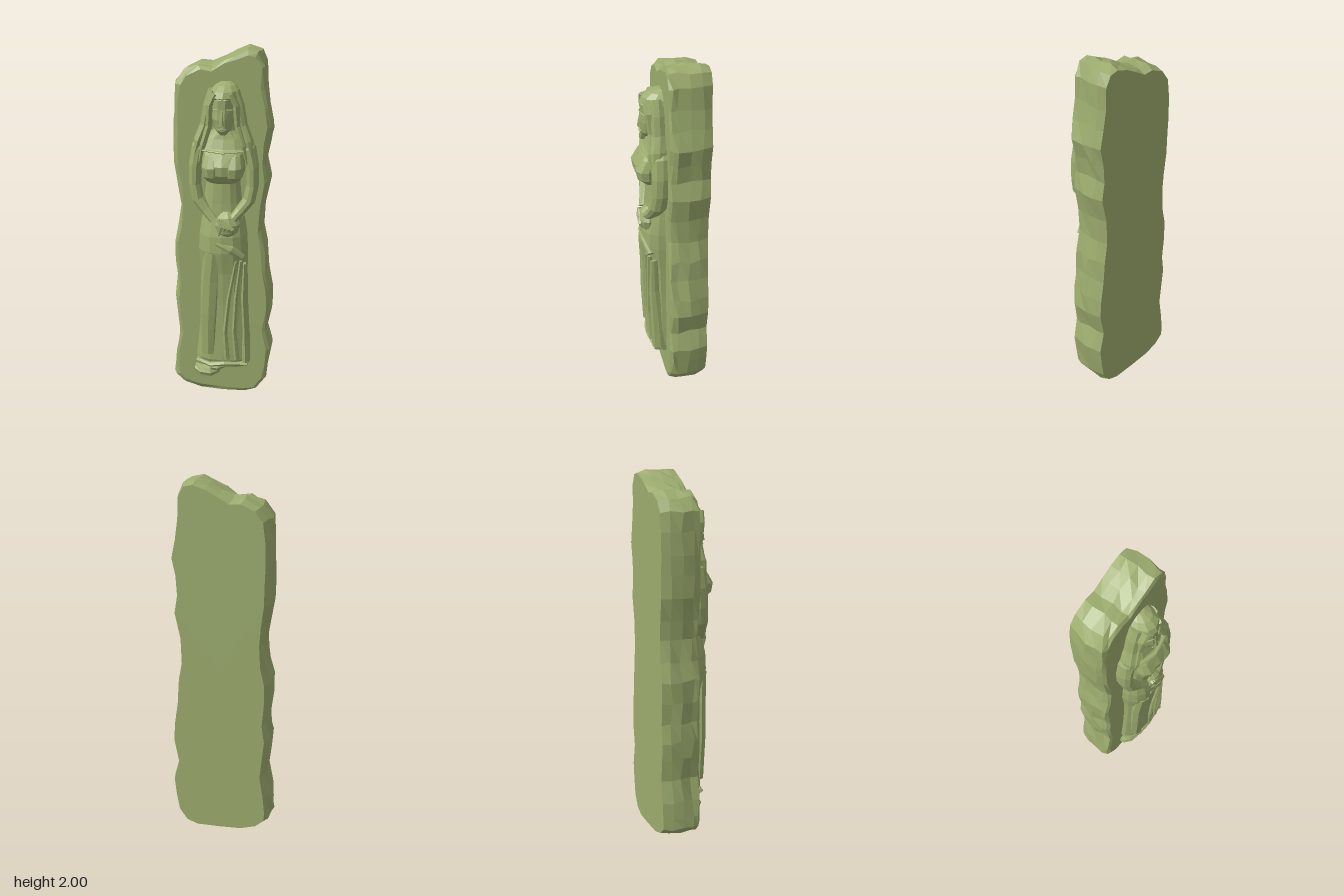
import * as THREE from 'three';

const stone = new THREE.MeshStandardMaterial({ color: 0x9cac6e });
stone.name = 'mossy stone';

// repeatable noise in -1..1
let seed = 11;
const rnd = () => {
  seed = (seed * 16807) % 2147483647;
  return (seed / 2147483647) * 2 - 1;
};

// closed faceted skin through equal rings, capped at both ends
function loft(name, rings) {
  const pos = [];
  const n = rings[0].length;
  const tri = (a, b, c) => pos.push(...a.toArray(), ...b.toArray(), ...c.toArray());
  const mid = (r) => r.reduce((s, p) => s.add(p), new THREE.Vector3()).divideScalar(n);
  const last = rings.length - 1;
  const c0 = mid(rings[0]), c1 = mid(rings[last]);
  for (let j = 0; j < n; j++) {
    const k = (j + 1) % n;
    for (let i = 0; i < last; i++) {
      const a = rings[i][j], b = rings[i][k], c = rings[i + 1][j], d = rings[i + 1][k];
      tri(a, c, b);
      tri(b, c, d);
    }
    tri(c0, rings[0][j], rings[0][k]);
    tri(c1, rings[last][k], rings[last][j]);
  }
  const g = new THREE.BufferGeometry();
  g.setAttribute('position', new THREE.Float32BufferAttribute(pos, 3));
  g.computeVertexNormals();
  const m = new THREE.Mesh(g, stone);
  m.name = name;
  return m;
}

// sweep of ellipses along stations [x, y, z, half width, half depth]
function sweep(name, rows, sides = 10, power = 1) {
  const bend = (v) => Math.sign(v) * Math.abs(v) ** power;
  const rings = rows.map(([x, y, z, rx, rz], i) => {
    const p = rows[Math.max(i - 1, 0)], q = rows[Math.min(i + 1, rows.length - 1)];
    const t = new THREE.Vector2(q[0] - p[0], q[1] - p[1]).normalize();
    return Array.from({ length: sides }, (_, j) => {
      const a = (j / sides) * Math.PI * 2;
      const u = bend(Math.cos(a)) * rx;
      return new THREE.Vector3(x + t.y * u, y - t.x * u, z + bend(Math.sin(a)) * rz);
    });
  });
  return loft(name, rings);
}

// body stations [y, left edge, right edge, front depth], sunk into the slab
const relief = (name, rows, sides = 16, power = 0.8) =>
  sweep(name, rows.map(([y, a, b, f]) => [0, y, 0.01, (b - a) / 2, f - 0.01, (a + b) / 2])
    .map((r) => [r[0], r[1], r[2], r[3], r[4], r[5]]), sides, power, rows);

// same as relief, shifted sideways by each station's centre
function body(name, rows, sides = 16, power = 0.8) {
  const rings = rows.map(([y, a, b, f]) => Array.from({ length: sides }, (_, j) => {
    const t = (j / sides) * Math.PI * 2;
    const s = (v) => Math.sign(v) * Math.abs(v) ** power;
    return new THREE.Vector3((a + b) / 2 + s(Math.cos(t)) * (b - a) / 2, y, 0.01 + s(Math.sin(t)) * (f - 0.01));
  }));
  return loft(name, rings);
}

function slab() {
  // rough outline, clockwise from the lower left
  const outline = [
    [-0.22, 0.05], [-0.275, 0.1], [-0.28, 0.16], [-0.27, 0.26], [-0.25, 0.38], [-0.262, 0.5], [-0.272, 0.6],
    [-0.258, 0.7], [-0.268, 0.82], [-0.268, 0.94], [-0.245, 1.04], [-0.238, 1.16], [-0.245, 1.26], [-0.26, 1.38],
    [-0.262, 1.5], [-0.266, 1.6], [-0.262, 1.72], [-0.248, 1.82], [-0.2, 1.885], [-0.12, 1.92], [-0.06, 1.915],
    [0, 1.95], [0.06, 1.98], [0.13, 2], [0.19, 1.985], [0.225, 1.92], [0.228, 1.8], [0.245, 1.7], [0.266, 1.6],
    [0.245, 1.5], [0.24, 1.4], [0.256, 1.3], [0.226, 1.16], [0.222, 1.02], [0.24, 0.9], [0.25, 0.78], [0.268, 0.66],
    [0.275, 0.55], [0.25, 0.42], [0.278, 0.3], [0.268, 0.2], [0.25, 0.1], [0.2, 0.03], [0.13, 0.005], [0, 0.01],
    [-0.13, 0.02],
  ];
  const n = outline.length;
  const layers = [[-0.18, 0.018, 0], [-0.13, 0.003, 0.008], [-0.07, 0, 0.01], [-0.01, 0.004, 0.01],
    [0.022, 0.01, 0.007], [0.035, 0.028, 0.006]];
  return loft('stoneSlab', layers.map(([z, inset, rough], i) => outline.map(([x, y], j) => {
    const p = outline[(j + n - 1) % n], q = outline[(j + 1) % n];
    const t = new THREE.Vector2(q[0] - p[0], q[1] - p[1]).normalize();
    const d = inset + rnd() * rough;
    const along = rnd() * rough;
    return new THREE.Vector3(
      x + t.y * d + t.x * along,
      THREE.MathUtils.clamp(y - t.x * d + t.y * along, 0, 2),
      z + (i > 0 && i < 5 ? rnd() * rough : 0));
  })));
}

export function createModel() {
  const model = new THREE.Group();
  model.name = 'carvedSlab';
  model.add(slab());

  const figure = new THREE.Group();
  figure.name = 'reliefFigure';
  model.add(figure);

  // gown, waist, bust and neck
  figure.add(
    body('skirt', [
      [0.21, -0.12, 0.155, 0.1], [0.26, -0.15, 0.165, 0.115], [0.4, -0.135, 0.162, 0.115], [0.6, -0.12, 0.15, 0.118],
      [0.8, -0.118, 0.145, 0.13], [0.93, -0.13, 0.145, 0.152], [1.02, -0.125, 0.14, 0.148], [1.12, -0.11, 0.125, 0.125],
    ]),
    body('torso', [
      [1.08, -0.115, 0.13, 0.125], [1.2, -0.1, 0.11, 0.115], [1.31, -0.085, 0.1, 0.11], [1.33, -0.09, 0.11, 0.14],
      [1.37, -0.1, 0.125, 0.172], [1.42, -0.105, 0.13, 0.178], [1.48, -0.115, 0.14, 0.145], [1.5, -0.125, 0.15, 0.12],
      [1.55, -0.1, 0.13, 0.1], [1.59, -0.045, 0.075, 0.09], [1.64, -0.035, 0.065, 0.085],
    ]),
  );

  // head, nose and hair
  figure.add(
    body('face', [
      [1.575, -0.012, 0.035, 0.12], [1.6, -0.038, 0.058, 0.14], [1.66, -0.058, 0.07, 0.145],
      [1.71, -0.06, 0.075, 0.138], [1.76, -0.058, 0.078, 0.14], [1.8, -0.04, 0.06, 0.11],
    ], 14, 0.85),
    sweep('nose', [[0.008, 1.63, 0.14, 0.014, 0.014], [0.008, 1.66, 0.14, 0.011, 0.01], [0.008, 1.71, 0.132, 0.006, 0.006]], 6),
    sweep('mouth', [[-0.012, 1.612, 0.134, 0.004, 0.007], [0.01, 1.612, 0.139, 0.007, 0.009], [0.032, 1.612, 0.134, 0.004, 0.007]], 6),
    body('crownOfHair', [
      [1.73, -0.08, 0.1, 0.1], [1.77, -0.075, 0.102, 0.143], [1.8, -0.06, 0.095, 0.13],
      [1.825, -0.035, 0.075, 0.095], [1.84, -0.005, 0.05, 0.05],
    ], 12, 0.9),
  );
  for (const s of [-1, 1]) {
    const side = s < 0 ? 'right' : 'left';
    const X = (v) => 0.012 + s * v;
    figure.add(
      // brow and falling hair
      sweep(side + 'Brow', [[X(0.018), 1.712, 0.137, 0.005, 0.006], [X(0.05), 1.708, 0.118, 0.005, 0.008]], 6),
      sweep(side + 'OuterHair', [
        [X(0.055), 1.8, 0.06, 0.025, 0.035], [X(0.08), 1.72, 0.06, 0.027, 0.04], [X(0.098), 1.62, 0.06, 0.026, 0.04],
        [X(0.13), 1.54, 0.07, 0.025, 0.045], [X(0.15), 1.46, 0.07, 0.012, 0.04],
      ], 8),
      sweep(side + 'InnerHair', [
        [X(0.04), 1.79, 0.1, 0.015, 0.035], [X(0.068), 1.73, 0.095, 0.018, 0.035], [X(0.075), 1.62, 0.085, 0.018, 0.03],
        [X(0.105), 1.52, 0.095, 0.017, 0.03], [X(0.125), 1.42, 0.09, 0.006, 0.02],
      ], 8),
      // arms bent towards the joined hands
      sweep(side + 'UpperArm', [
        [X(0.1), 1.55, 0.05, 0.03, 0.035], [X(0.132), 1.5, 0.055, 0.037, 0.055], [X(0.15), 1.4, 0.06, 0.036, 0.055],
        [X(0.153), 1.3, 0.065, 0.033, 0.05], [X(0.138), 1.22, 0.075, 0.033, 0.048], [X(0.095), 1.165, 0.09, 0.03, 0.04],
        [X(0.05), 1.115, 0.115, 0.025, 0.03],
      ], 10),
      // bust
      sweep(side + 'Bust', [
        [X(0.055), 1.325, 0.1, 0.028, 0.03], [X(0.056), 1.36, 0.115, 0.05, 0.056], [X(0.056), 1.41, 0.12, 0.055, 0.06],
        [X(0.056), 1.47, 0.1, 0.045, 0.045], [X(0.056), 1.5, 0.09, 0.03, 0.025],
      ], 10),
    );
  }

  // joined hands with fingers
  figure.add(sweep('joinedHands', [
    [0.035, 1.015, 0.11, 0.025, 0.025], [0.035, 1.045, 0.115, 0.058, 0.042], [0.035, 1.09, 0.115, 0.07, 0.048],
    [0.03, 1.13, 0.11, 0.05, 0.04], [0.03, 1.16, 0.1, 0.025, 0.02],
  ], 10));
  for (let i = 0; i < 4; i++) {
    figure.add(sweep('finger', [
      [-0.01 + i * 0.012, 1.125 - i * 0.004, 0.146, 0.009, 0.012],
      [0.01 + i * 0.02, 1.085 - i * 0.004, 0.156, 0.01, 0.013],
      [-0.005 + i * 0.025, 1.03 + i * 0.004, 0.135, 0.008, 0.014],
    ], 6));
  }

  // gown folds: [name, stations]
  const folds = [
    ['hipDrape', [[-0.02, 0.985, 0.14, 0.012, 0.014], [0.06, 0.95, 0.138, 0.028, 0.018], [0.12, 0.9, 0.112, 0.018, 0.02]]],
    ['rightLeg', [[-0.07, 0.3, 0.09, 0.04, 0.035], [-0.065, 0.55, 0.1, 0.05, 0.037], [-0.055, 0.75, 0.1, 0.055, 0.04], [-0.04, 0.92, 0.11, 0.05, 0.04]]],
    ['innerFold', [[0.035, 0.27, 0.1, 0.02, 0.026], [0.025, 0.45, 0.108, 0.014, 0.026], [0.045, 0.65, 0.112, 0.012, 0.025], [0.085, 0.88, 0.125, 0.007, 0.016]]],
    ['middleFold', [[0.09, 0.27, 0.1, 0.016, 0.025], [0.075, 0.45, 0.108, 0.013, 0.024], [0.085, 0.65, 0.112, 0.012, 0.022], [0.11, 0.88, 0.118, 0.007, 0.016]]],
    ['outerFold', [[0.14, 0.25, 0.07, 0.025, 0.045], [0.135, 0.45, 0.08, 0.016, 0.04], [0.125, 0.65, 0.095, 0.014, 0.03], [0.13, 0.86, 0.1, 0.008, 0.02]]],
    ['hem', [[-0.14, 0.245, 0.06, 0.012, 0.04], [-0.06, 0.225, 0.085, 0.018, 0.035], [0.02, 0.24, 0.09, 0.018, 0.035], [0.15, 0.235, 0.07, 0.014, 0.035]]],
    ['neckline', [[-0.095, 1.492, 0.105, 0.006, 0.018], [0.015, 1.487, 0.135, 0.006, 0.012], [0.12, 1.492, 0.105, 0.006, 0.018]]],
  ];
  folds.forEach(([name, rows]) => figure.add(sweep(name, rows, 8)));

  // feet below the hem
  figure.add(
    sweep('rightFoot', [[-0.155, 0.175, 0.04, 0.02, 0.03], [-0.12, 0.165, 0.06, 0.03, 0.035], [-0.06, 0.165, 0.07, 0.034, 0.035], [-0.015, 0.175, 0.055, 0.02, 0.03]], 8),
    sweep('leftFoot', [[-0.06, 0.2, 0.07, 0.025, 0.03], [-0.02, 0.2, 0.075, 0.028, 0.03], [0.025, 0.21, 0.06, 0.015, 0.025]], 8),
  );
  return model;
}
